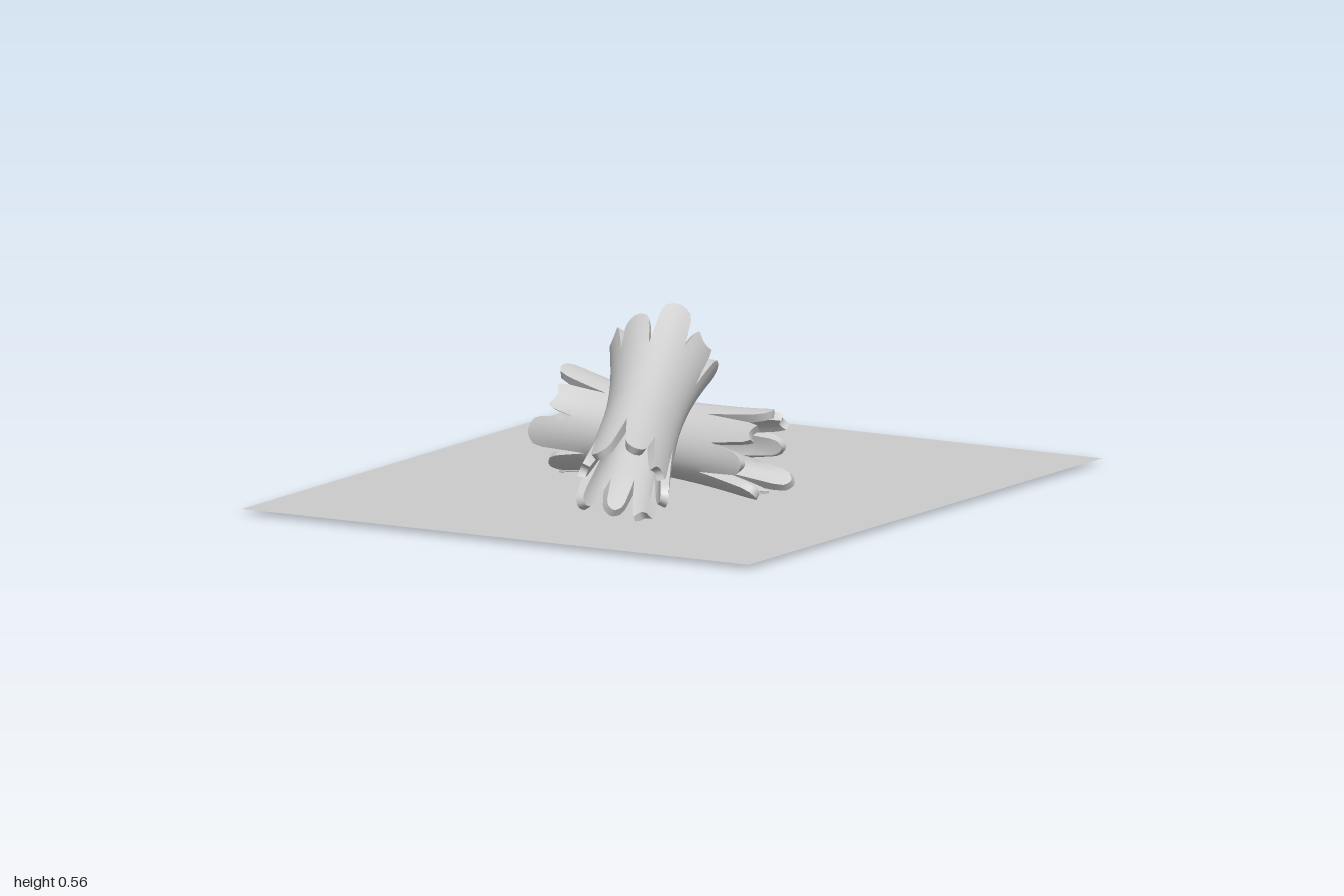
import * as THREE from 'three';
import { toCreasedNormals } from 'three/addons/utils/BufferGeometryUtils.js';

const TEETH = 8, ACROSS = 5, BODY_ROWS = 6, ROWS = 12;

// The two splintered ends: tip distance and slit depth per tooth, flare and taper
const ENDS = [
  { sign: 1, flare: 0.046, taper: 0.3,
    tips: [0.36, 0.34, 0.37, 0.33, 0.36, 0.35, 0.32, 0.365],
    slits: [0.22, 0.19, 0.25, 0.21, 0.24, 0.18, 0.23, 0.2] },
  { sign: -1, flare: 0.025, taper: 0.42,
    tips: [0.35, 0.36, 0.33, 0.36, 0.34, 0.36, 0.31, 0.35],
    slits: [0.2, 0.16, 0.22, 0.18, 0.24, 0.17, 0.21, 0.19] },
];

// Hollow shell along y, waisted in the middle, splitting into teeth at both ends
function logGeometry() {
  const pos = [];
  const tri = (a, b, c) => pos.push(...a, ...b, ...c);
  const quad = (a, b, c, d, flip) => {
    if (flip) { tri(a, c, b); tri(a, d, c); } else { tri(a, b, c); tri(a, c, d); }
  };

  for (const end of ENDS) {
    const flip = end.sign < 0;
    for (let i = 0; i < TEETH; i++) {
      const edgeY = (slit, k) => k <= BODY_ROWS
        ? slit * k / BODY_ROWS
        : THREE.MathUtils.lerp(slit, end.tips[i], (k - BODY_ROWS) / (ROWS - BODY_ROWS));

      const point = (inner, k, j) => {
        const s = j / ACROSS;
        const t = Math.max(0, (k - BODY_ROWS) / (ROWS - BODY_ROWS));
        let y = THREE.MathUtils.lerp(
          edgeY(end.slits[i], k), edgeY(end.slits[(i + 1) % TEETH], k), s);
        y += 0.015 * t * t * Math.sin(Math.PI * s) * (i % 3 === 1 ? -1 : 1);
        const width = 1 - end.taper * t - (k === ROWS ? 0.1 : 0);
        const angle = (i + 0.5 + (s - 0.5) * width) / TEETH * Math.PI * 2;
        const wave = 0.004 * Math.sin(3 * angle + 1);
        let r = 0.114 + wave + end.flare * Math.pow(y / 0.36, 1.8);
        if (inner) r -= 0.036 - 0.012 * t;
        return [r * Math.cos(angle), y * end.sign, r * Math.sin(angle)];
      };

      // Bark outside and hollow inside
      for (let k = 0; k < ROWS; k++) {
        for (let j = 0; j < ACROSS; j++) {
          for (const inner of [false, true]) {
            quad(point(inner, k, j), point(inner, k + 1, j),
              point(inner, k + 1, j + 1), point(inner, k, j + 1), flip !== inner);
          }
        }
      }
      // Slit walls
      for (let k = BODY_ROWS; k < ROWS; k++) {
        for (const j of [0, ACROSS]) {
          quad(point(false, k, j), point(true, k, j),
            point(true, k + 1, j), point(false, k + 1, j), flip !== (j === ACROSS));
        }
      }
      // Broken tip
      for (let j = 0; j < ACROSS; j++) {
        quad(point(false, ROWS, j), point(true, ROWS, j),
          point(true, ROWS, j + 1), point(false, ROWS, j + 1), flip);
      }
    }
  }
  const geometry = new THREE.BufferGeometry();
  geometry.setAttribute('position', new THREE.Float32BufferAttribute(pos, 3));
  return toCreasedNormals(geometry, 0.7);
}

export function createModel() {
  const model = new THREE.Group();
  model.name = 'hollowLogs';
  const material = new THREE.MeshStandardMaterial({ color: 0xcccccc });

  // Ground sheet
  const sheet = new THREE.Mesh(
    new THREE.PlaneGeometry(1.735, 2),
    new THREE.MeshStandardMaterial({ color: 0xcccccc, side: THREE.DoubleSide }));
  sheet.name = 'groundSheet';
  sheet.rotation.x = -Math.PI / 2;
  sheet.position.y = 0.01;
  model.add(sheet);

  // Logs, placed by the centres of their narrow and wide ends
  const geometry = logGeometry();
  const addLog = (name, narrow, wide, roll) => {
    const a = new THREE.Vector3(...narrow), b = new THREE.Vector3(...wide);
    const up = new THREE.Vector3(0, 1, 0);
    const log = new THREE.Mesh(geometry, material);
    log.name = name;
    log.position.copy(a).add(b).multiplyScalar(0.5);
    log.quaternion.setFromUnitVectors(up, b.sub(a).normalize());
    log.rotateY(roll);
    model.add(log);
  };
  addLog('lyingLog', [0.355, 0.125, 0.02], [-0.37, 0.163, -0.01], 0.3);
  addLog('leaningLog', [0.21, 0.125, 0.63], [-0.015, 0.395, 0.03], 1.1);

  return model;
}
